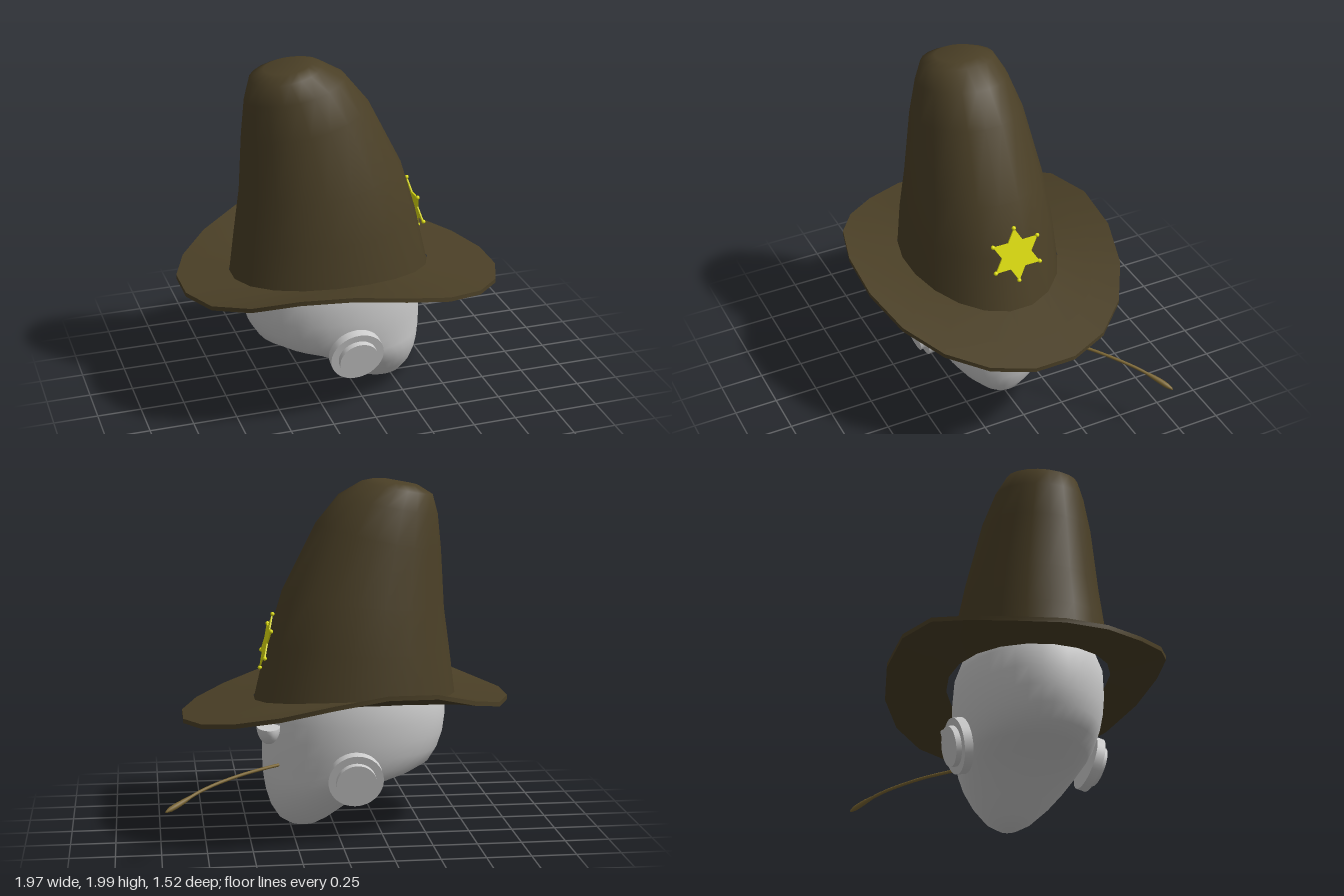
import * as THREE from 'three';
import { toCreasedNormals } from 'three/addons/utils/BufferGeometryUtils.js';

const mat = (color) => new THREE.MeshStandardMaterial({ color });
const grey = mat(0xcccccc);
const felt = mat(0x4a3f26);
const yellow = mat(0xe0e010);
const strawBrown = mat(0x7a6532);

function add(parent, name, geometry, material) {
  const mesh = new THREE.Mesh(geometry, material);
  mesh.name = name;
  parent.add(mesh);
  return mesh;
}

// Skin through closed rings of points, listed so that the surface faces outward
function loft(rings, capStart, capEnd) {
  const n = rings[0].length;
  const pos = [];
  const idx = [];
  rings.forEach((r) => r.forEach((p) => pos.push(p.x, p.y, p.z)));
  for (let i = 0; i < rings.length - 1; i++) {
    for (let j = 0; j < n; j++) {
      const k = (j + 1) % n;
      const a = i * n + j, b = i * n + k;
      idx.push(a, b, b + n, a, b + n, a + n);
    }
  }
  const cap = (center, base, flip) => {
    const c = pos.length / 3;
    pos.push(...center);
    for (let j = 0; j < n; j++) {
      const a = base + j, b = base + ((j + 1) % n);
      if (flip) idx.push(c, b, a);
      else idx.push(c, a, b);
    }
  };
  if (capStart) cap(capStart, 0, true);
  if (capEnd) cap(capEnd, (rings.length - 1) * n, false);
  const g = new THREE.BufferGeometry();
  g.setAttribute('position', new THREE.Float32BufferAttribute(pos, 3));
  g.setIndex(idx);
  g.computeVertexNormals();
  return g;
}

// Ellipse ring between a back and a front point, with half width w; may tilt
function ring(n, xBack, yBack, xFront, yFront, w) {
  return Array.from({ length: n }, (_, j) => {
    const t = ((j + 0.5) / n) * Math.PI * 2;
    const f = (Math.cos(t) + 1) / 2;
    return new THREE.Vector3(
      xBack + (xFront - xBack) * f, yBack + (yFront - yBack) * f, -Math.sin(t) * w);
  });
}

// Piecewise linear lookup in [x, y] pairs
function lookup(table, x) {
  for (let i = 1; i < table.length; i++) {
    const [x0, y0] = table[i - 1], [x1, y1] = table[i];
    if (x <= x1) return y0 + (y1 - y0) * THREE.MathUtils.clamp((x - x0) / (x1 - x0), 0, 1);
  }
  return table[table.length - 1][1];
}

function buildHead(parent) {
  // height, back x, front x, half width
  const slices = [
    [0.02, 0.1, 0.25, 0.06], [0.06, 0.03, 0.315, 0.13], [0.14, -0.08, 0.365, 0.215],
    [0.22, -0.19, 0.39, 0.28], [0.29, -0.32, 0.402, 0.325], [0.34, -0.46, 0.408, 0.35],
    [0.39, -0.55, 0.41, 0.368], [0.47, -0.6, 0.41, 0.388], [0.56, -0.63, 0.408, 0.4],
    [0.66, -0.643, 0.403, 0.405], [0.78, -0.635, 0.38, 0.4], [0.9, -0.58, 0.32, 0.36],
    [1.0, -0.45, 0.2, 0.26],
  ];
  const rings = slices.map(([y, b, f, w]) => ring(36, b, y, f, y, w));
  add(parent, 'head', loft(rings, [0.18, 0.005, 0], [-0.12, 1.05, 0]), grey);

  for (const s of [1, -1]) {
    const side = s > 0 ? 'right' : 'left';
    // Round ear pads, leaning out at the top
    const ear = new THREE.Group();
    ear.name = side + 'Ear';
    ear.position.set(-0.08, 0.365, s * 0.385);
    ear.rotation.x = s * (Math.PI / 2 + 0.22);
    add(ear, 'earRing', new THREE.CylinderGeometry(0.155, 0.155, 0.05, 32), grey);
    add(ear, 'earCap', new THREE.CylinderGeometry(0.112, 0.112, 0.06, 32), grey).position.y = 0.027;
    parent.add(ear);

    // Half-closed eyes: lower half of a flattened ball with a flat lid
    const eye = new THREE.Group();
    eye.name = side + 'Eye';
    eye.position.set(0.39, 0.642, s * 0.21);
    eye.scale.set(0.066, 0.1, 0.128);
    add(eye, 'eyeball',
      new THREE.SphereGeometry(1, 24, 10, 0, Math.PI * 2, Math.PI / 2, Math.PI / 2), grey);
    add(eye, 'eyelid', new THREE.CircleGeometry(1, 24), grey).rotation.x = -Math.PI / 2;
    parent.add(eye);
  }
}

function buildHat(parent) {
  const N = 20;
  // Seam where crown and brim meet, dipping at front and back
  const seam = ring(N, -0.7, 0, 0.46, 0, 0.437);
  seam.forEach((p) => {
    const c = (p.x + 0.12) / 0.58;
    p.y = 0.815 - c * c * (c > 0 ? 0.055 : 0.035);
  });
  // Brim edge, curled up at the sides
  const curl = [[-0.985, 0.765], [-0.9, 0.775], [-0.73, 0.825], [-0.49, 0.9], [-0.2, 0.916],
    [0.08, 0.868], [0.36, 0.795], [0.6, 0.735], [0.79, 0.69], [0.86, 0.675]];
  const edge = ring(N, -0.997, 0, 0.872, 0, 0.767);
  edge.forEach((p) => { p.y = lookup(curl, p.x); });
  const middle = seam.map((p, j) => p.clone().lerp(edge[j], 0.55));
  const lower = (r) => r.map((p) => p.clone().setY(p.y - 0.025));
  const brim = loft([lower(seam), lower(middle), lower(edge), edge, middle, seam]);
  add(parent, 'hatBrim', toCreasedNormals(brim, 0.7), felt);

  // Crown, sloping at the front and nearly upright at the back
  const crown = [
    [-0.662, 1.04, 0.38, 1.08, 0.414], [-0.63, 1.27, 0.292, 1.37, 0.372],
    [-0.61, 1.6, 0.1, 1.75, 0.307], [-0.59, 1.8, -0.03, 1.91, 0.252],
    [-0.56, 1.91, -0.16, 1.985, 0.205], [-0.48, 1.96, -0.22, 1.997, 0.13],
  ].map((r) => ring(N, ...r));
  add(parent, 'hatCrown', loft([lower(seam), ...crown], null, [-0.3, 1.998, 0]), felt);
}

function buildBadge(parent) {
  const badge = new THREE.Group();
  badge.name = 'starBadge';
  badge.position.set(0.383, 1.087, 0);
  badge.rotation.z = 0.237;
  const R = 0.157;
  const star = new THREE.Shape(Array.from({ length: 12 }, (_, i) => {
    const a = (i * Math.PI) / 6, r = i % 2 ? 0.09 : R;
    return new THREE.Vector2(-Math.sin(a) * r, Math.cos(a) * r);
  }));
  const plate = new THREE.ExtrudeGeometry(star, { depth: 0.008, bevelEnabled: false });
  plate.translate(0, 0, -0.004);
  add(badge, 'starPlate', plate, yellow).rotation.y = Math.PI / 2;
  // Small balls on the six points
  for (let i = 0; i < 6; i++) {
    const a = (i * Math.PI) / 3;
    add(badge, 'starTip', new THREE.SphereGeometry(0.012, 10, 8), yellow)
      .position.set(0, Math.cos(a) * R, Math.sin(a) * R);
  }
  parent.add(badge);
}

function buildStraw(parent) {
  // Drooping stalk with a thicker seed head
  const path = new THREE.CatmullRomCurve3([
    [0.31, 0.412, -0.18], [0.42, 0.412, -0.265], [0.56, 0.408, -0.38], [0.7, 0.392, -0.49],
    [0.8, 0.37, -0.57], [0.89, 0.337, -0.64], [0.972, 0.306, -0.694],
  ].map((p) => new THREE.Vector3(...p)));
  const radius = [[0, 0.009], [0.8, 0.009], [0.88, 0.015], [0.96, 0.016], [1, 0.007]];
  const up = new THREE.Vector3(0, 1, 0);
  const rings = Array.from({ length: 31 }, (_, i) => {
    const u = i / 30, c = path.getPointAt(u), t = path.getTangentAt(u);
    const s = new THREE.Vector3().crossVectors(t, up).normalize();
    const v = new THREE.Vector3().crossVectors(s, t);
    return Array.from({ length: 10 }, (_, j) => {
      const a = (j / 10) * Math.PI * 2, r = lookup(radius, u);
      return c.clone().addScaledVector(s, Math.cos(a) * r).addScaledVector(v, Math.sin(a) * r);
    });
  });
  add(parent, 'straw',
    loft(rings, path.getPointAt(0).toArray(), [0.98, 0.303, -0.699]), strawBrown)
    .material.side = THREE.DoubleSide;
}

export function createModel() {
  const model = new THREE.Group();
  model.name = 'headWithHat';
  buildHead(model);
  buildHat(model);
  buildBadge(model);
  buildStraw(model);
  return model;
}
